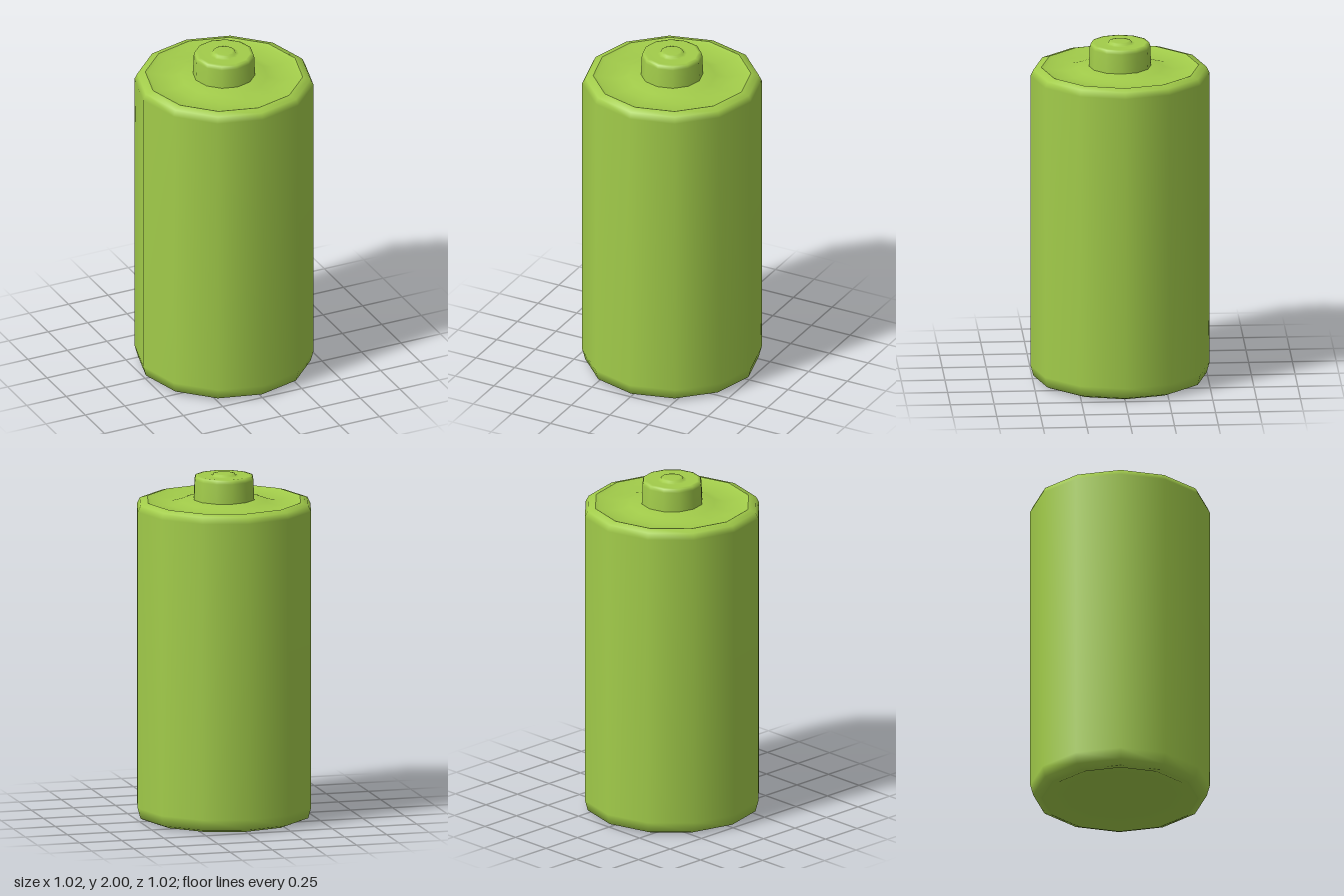
import * as THREE from 'three';

const SIDES = 12;

export function createModel() {
  const model = new THREE.Group();
  model.name = 'battery';
  const green = new THREE.MeshStandardMaterial({ color: 0xa2cc4a });

  // Twelve-sided smooth solid of revolution from [radius, height] pairs, bottom to top
  const turned = (name, profile) => {
    const points = profile.map(([r, y]) => new THREE.Vector2(r, y));
    const mesh = new THREE.Mesh(new THREE.LatheGeometry(points, SIDES), green);
    mesh.name = name;
    model.add(mesh);
  };

  // Negative end: flat contact disc inside a shallow groove and rim
  turned('negativeEnd', [
    [0, 0.012], [0.27, 0.012], [0.31, 0.022], [0.37, 0.022], [0.41, 0.003], [0.45, 0],
  ]);

  // Casing with rounded shoulders at both ends
  turned('casing', [
    [0.45, 0], [0.495, 0.018], [0.512, 0.08],
    [0.512, 1.8], [0.495, 1.835], [0.45, 1.848],
  ]);

  // Positive end: rim, shallow trough, then a rise to the terminal
  turned('positiveEnd', [
    [0.178, 1.852], [0.25, 1.842], [0.31, 1.825], [0.39, 1.835], [0.43, 1.84], [0.45, 1.848],
  ].reverse());

  // Terminal button with a small raised nub
  turned('terminal', [
    [0.178, 1.85], [0.173, 1.965], [0.168, 1.985], [0.15, 1.988],
    [0.085, 1.984], [0.068, 1.988], [0.064, 1.997], [0.05, 2], [0, 2],
  ]);

  return model;
}
